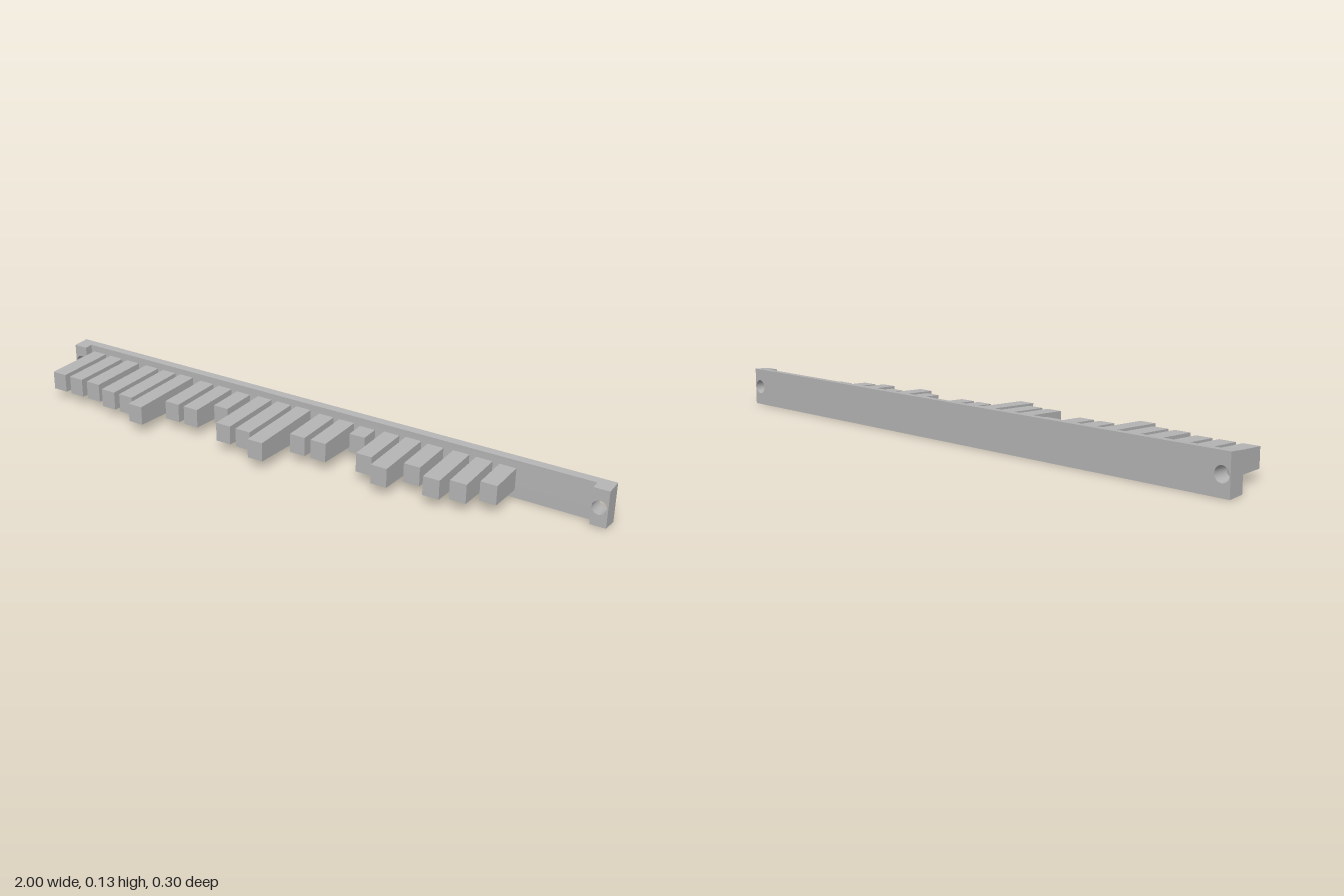
import * as THREE from 'three';

const MID_Y = 0.063;
const BACK_Z = -0.149;
const PLATE_DEPTH = 0.028;
const FRONT_Z = BACK_Z + PLATE_DEPTH;
const HOLE_X = 0.974;

// Scale the height of a geometry linearly along z (moulding draft)
function taperY(geometry, halfHeightAt) {
  const p = geometry.attributes.position;
  for (let i = 0; i < p.count; i++) p.setY(i, p.getY(i) * halfHeightAt(p.getZ(i)));
  geometry.computeVertexNormals();
  return geometry;
}

// Unit-height slab with round holes, extruded from z0
function slab(x0, x1, z0, depth, holeXs) {
  const shape = new THREE.Shape();
  shape.moveTo(x0, -1).lineTo(x1, -1).lineTo(x1, 1).lineTo(x0, 1).closePath();
  for (const x of holeXs) {
    // Stretched so the hole is round once the height is applied
    const hole = new THREE.Path();
    hole.absellipse(x, 0, 0.023, 0.023 / 0.061, 0, Math.PI * 2, true);
    shape.holes.push(hole);
  }
  const geometry = new THREE.ExtrudeGeometry(shape, { depth, bevelEnabled: false, curveSegments: 24 });
  geometry.translate(0, 0, z0);
  return taperY(geometry, z => 0.0628 - 0.066 * (z - BACK_Z));
}

export function createModel() {
  const group = new THREE.Group();
  const grey = new THREE.MeshStandardMaterial({ color: 0xb4b4b4 });
  grey.name = 'grey';

  const add = (name, geometry) => {
    const mesh = new THREE.Mesh(geometry, grey);
    mesh.name = name;
    mesh.position.y = MID_Y;
    group.add(mesh);
  };

  // Long back plate and the raised mounting pads at its ends
  add('backPlate', slab(-1, 1, BACK_Z, PLATE_DEPTH, [-HOLE_X, HOLE_X]));
  add('rightMountingPad', slab(-1, -0.95, FRONT_Z, 0.029, [-HOLE_X]));
  add('leftMountingPad', slab(0.95, 1, FRONT_Z, 0.029, [HOLE_X]));

  // Teeth in groups of three; lengths counted in equal steps
  const lengths = [
    [10, 10, 10], [11, 11, 13], [9, 9, 6], [11, 11, 13],
    [8, 8, 3], [8, 10, 7], [9, 8, 6],
  ];
  lengths.forEach((trio, g) => trio.forEach((steps, i) => {
    const length = steps * 0.0208;
    const tip = FRONT_Z + length;
    const geometry = new THREE.BoxGeometry(0.054, 2, length);
    geometry.translate(-0.911 + g * 0.2393 + i * 0.0762, 0, FRONT_Z + length / 2);
    add(`tooth${g * 3 + i + 1}`, taperY(geometry, z => 0.031 + 0.0375 * (tip - z)));
  }));

  return group;
}
